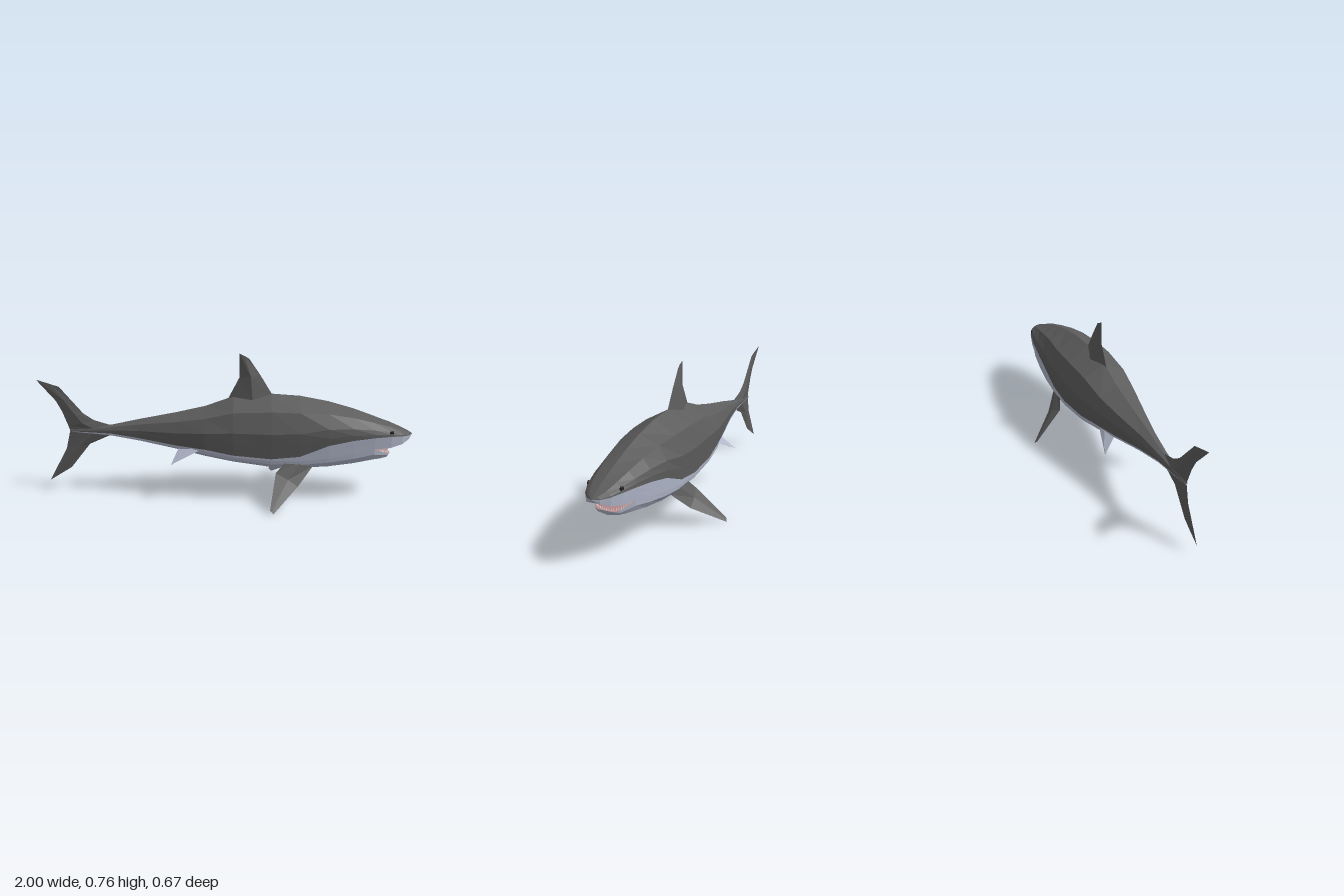
import * as THREE from 'three';

const mat = (name, color) => {
  const m = new THREE.MeshStandardMaterial({ color, side: THREE.DoubleSide, flatShading: true });
  m.name = name;
  return m;
};

// Flat-shaded skin over a list of equal-length rows of [x, y, z] points
function loft(name, rows, material) {
  const n = rows[0].length, index = [];
  for (let i = 0; i < rows.length - 1; i++)
    for (let j = 0; j < n - 1; j++) {
      const a = i * n + j, b = a + n;
      index.push(a, b, a + 1, b, b + 1, a + 1);
    }
  let g = new THREE.BufferGeometry();
  g.setAttribute('position', new THREE.Float32BufferAttribute(rows.flat(2), 3));
  g.setIndex(index);
  g = g.toNonIndexed();
  g.computeVertexNormals();
  const mesh = new THREE.Mesh(g, material);
  mesh.name = name;
  return mesh;
}

// Body stations: x, top, widest height, half width, colour line, mouth line, bottom
const BODY = [
  [-0.83, 0.34, 0.335, 0.006, 0.333, 0.331, 0.33],
  [-0.6, 0.372, 0.345, 0.028, 0.328, 0.324, 0.312],
  [-0.45, 0.405, 0.345, 0.05, 0.31, 0.305, 0.29],
  [-0.25, 0.445, 0.35, 0.095, 0.285, 0.28, 0.255],
  [-0.1, 0.48, 0.355, 0.13, 0.275, 0.265, 0.22],
  [0.05, 0.535, 0.36, 0.15, 0.25, 0.24, 0.195],
  [0.25, 0.55, 0.36, 0.16, 0.235, 0.225, 0.165],
  [0.4, 0.54, 0.36, 0.158, 0.25, 0.225, 0.16],
  [0.55, 0.512, 0.355, 0.15, 0.31, 0.24, 0.165],
  [0.68, 0.475, 0.35, 0.135, 0.335, 0.26, 0.178],
  [0.79, 0.435, 0.345, 0.117, 0.345, 0.28, 0.195],
];
const SNOUT = [
  [0.88, 0.4, 0.345, 0.095, 0.347, 0.285],
  [0.94, 0.372, 0.34, 0.068, 0.342, 0.298],
  [0.98, 0.353, 0.335, 0.035, 0.338, 0.318],
  [1.0, 0.34, 0.34, 0, 0.34, 0.34],
];
// Jaw stations: x, rim height, bottom, half width
const JAW = [[0.83, 0.262, 0.203, 0.093], [0.865, 0.246, 0.215, 0.068], [0.88, 0.242, 0.242, 0.045]];

const lerp = THREE.MathUtils.lerp;
const LIP = 0.94;

// Half width of a station at height y, above the mouth line
function halfWidth([, top, mid, w, , m], y) {
  if (y >= mid) return top > mid ? w * Math.sqrt(Math.max(0, 1 - ((y - mid) / (top - mid)) ** 2)) : 0;
  return w * (1 - (1 - LIP) * (mid - y) / (mid - m));
}

// Back arc from the left colour line over the spine to the right one
function backRow(s) {
  const side = [0, 0.2, 0.43, 0.78].map((t) => {
    const y = lerp(s[4], s[1], t);
    return [s[0], y, halfWidth(s, y)];
  });
  return [...side, [s[0], s[1], 0], ...side.map(([x, y, z]) => [x, y, -z]).reverse()];
}

// Pale strip between the colour line and the mouth line
const flankRow = (s, side) => [0, 0.5, 1].map((t) => {
  const y = lerp(s[4], s[5], t);
  return [s[0], y, side * halfWidth(s, y)];
});

// Underside arc hanging from the mouth line
const bellyRow = ([x, rim, bottom, w]) => [-1, -0.67, -0.3, 0, 0.3, 0.67, 1].map((k) => {
  const f = 1 - Math.abs(k);
  return [x, lerp(rim, bottom, f), Math.sign(k) * LIP * w * (1 - f ** 2.5) ** 0.4];
});

const flatRow = (x, y, w) => [[x, y, -w * LIP], [x, y, 0], [x, y, w * LIP]];

// Fin from stations [trailing point, leading point, half thickness], thickened along a normal
function fin(name, stations, normal, outer, inner) {
  const g = new THREE.Group();
  g.name = name;
  [[1, outer, 'Outer'], [-1, inner, 'Inner']].forEach(([s, material, label]) => {
    const rows = stations.map(([a, b, t]) => {
      const ridge = a.map((v, i) => lerp(v, b[i], 0.55) + s * t * normal[i]);
      return s > 0 ? [a, ridge, b] : [b, ridge, a];
    });
    g.add(loft(name + label, rows, material));
  });
  return g;
}

export function createModel() {
  const model = new THREE.Group();
  model.name = 'shark';
  const grey = mat('back grey', 0x5c5c5d);
  const pale = mat('belly pale', 0xb2b8cb);
  const pink = mat('mouth pink', 0xb98a8c);
  const white = mat('tooth white', 0xe6dfdc);
  const black = mat('eye black', 0x1c1c1e);

  // Body and snout
  const upper = [...BODY, ...SNOUT];
  model.add(loft('back', upper.map(backRow), grey));
  for (const s of [1, -1]) {
    model.add(loft(s > 0 ? 'leftFlank' : 'rightFlank', upper.map((r) => flankRow(r, s)), pale));
  }

  // Belly runs into the lower jaw
  const lower = [...BODY.map((s) => [s[0], s[5], s[6], s[3]]), ...JAW];
  model.add(loft('bellyAndJaw', lower.map(bellyRow), pale));

  // Mouth lining and snout underside
  const roof = upper.slice(BODY.length - 1).map((s) => flatRow(s[0], s[5], s[3]));
  model.add(loft('palate', roof.slice(0, 2), pink));
  model.add(loft('snoutUnderside', roof.slice(1), pale));
  model.add(loft('mouthFloor', lower.slice(BODY.length - 1).map((s) => flatRow(s[0], s[1], s[3])), pink));

  // Teeth along both jaws
  const toothRow = (name, pts, count, dir) => {
    const full = [...pts, ...pts.slice(0, -1).map(([x, y, z]) => [x, y, -z]).reverse()];
    const curve = new THREE.CatmullRomCurve3(full.map((p) => new THREE.Vector3(...p)));
    const cone = new THREE.ConeGeometry(0.004, 0.013, 4);
    const row = new THREE.Group();
    row.name = name;
    for (let i = 0; i < count; i++) {
      const tooth = new THREE.Mesh(cone, white);
      tooth.name = 'tooth';
      tooth.position.copy(curve.getPointAt(i / (count - 1)));
      tooth.position.y += dir * 0.005;
      if (dir < 0) tooth.rotation.x = Math.PI;
      row.add(tooth);
    }
    model.add(row);
  };
  toothRow('upperTeeth', [[0.815, 0.282, 0.1], [0.87, 0.284, 0.077], [0.9, 0.289, 0]], 25, -1);
  toothRow('lowerTeeth', [[0.815, 0.27, 0.09], [0.855, 0.251, 0.062], [0.874, 0.244, 0]], 21, 1);

  // Dorsal fin
  model.add(fin('dorsalFin', [
    [[0.015, 0.51, 0], [0.26, 0.535, 0], 0.036],
    [[0.08, 0.636, 0], [0.19, 0.65, 0], 0.018],
    [[0.08, 0.765, 0], [0.13, 0.738, 0], 0.002],
  ], [0, 0, 1], grey, grey));

  // Tail lobes
  model.add(fin('upperTailLobe', [
    [[-0.83, 0.335, 0], [-0.6, 0.365, 0], 0.014],
    [[-0.838, 0.36, 0], [-0.7, 0.395, 0], 0.012],
    [[-0.868, 0.44, 0], [-0.757, 0.433, 0], 0.009],
    [[-0.9, 0.5, 0], [-0.82, 0.507, 0], 0.006],
    [[-1, 0.615, 0], [-0.88, 0.577, 0], 0.001],
  ], [0, 0, 1], grey, grey));
  model.add(fin('lowerTailLobe', [
    [[-0.83, 0.335, 0], [-0.6, 0.318, 0], 0.014],
    [[-0.853, 0.235, 0], [-0.725, 0.262, 0], 0.009],
    [[-0.95, 0.053, 0], [-0.83, 0.128, 0], 0.001],
  ], [0, 0, 1], grey, grey));

  // Paired fins and eyes
  for (const s of [1, -1]) {
    const side = s > 0 ? 'left' : 'right';
    model.add(fin(side + 'PectoralFin', [
      [[0.34, 0.235, s * 0.135], [0.47, 0.19, s * 0.122], 0.014],
      [[0.275, 0.165, s * 0.17], [0.39, 0.1, s * 0.193], 0.011],
      [[0.245, 0.018, s * 0.325], [0.262, 0.001, s * 0.336], 0.001],
    ], [0, 0.65, s * 0.76], grey, pale));
    model.add(fin(side + 'PelvicFin', [
      [[-0.24, 0.268, s * 0.085], [-0.115, 0.272, s * 0.112], 0.008],
      [[-0.275, 0.198, s * 0.152], [-0.265, 0.203, s * 0.15], 0.001],
    ], [0, 0.6, s * 0.8], pale, pale));
    const eye = new THREE.Mesh(new THREE.SphereGeometry(0.013, 10, 8), black);
    eye.name = side + 'Eye';
    eye.scale.z = 0.4;
    eye.position.set(0.88, 0.364, s * 0.087);
    eye.rotation.y = s * 0.35;
    model.add(eye);
  }
  return model;
}
